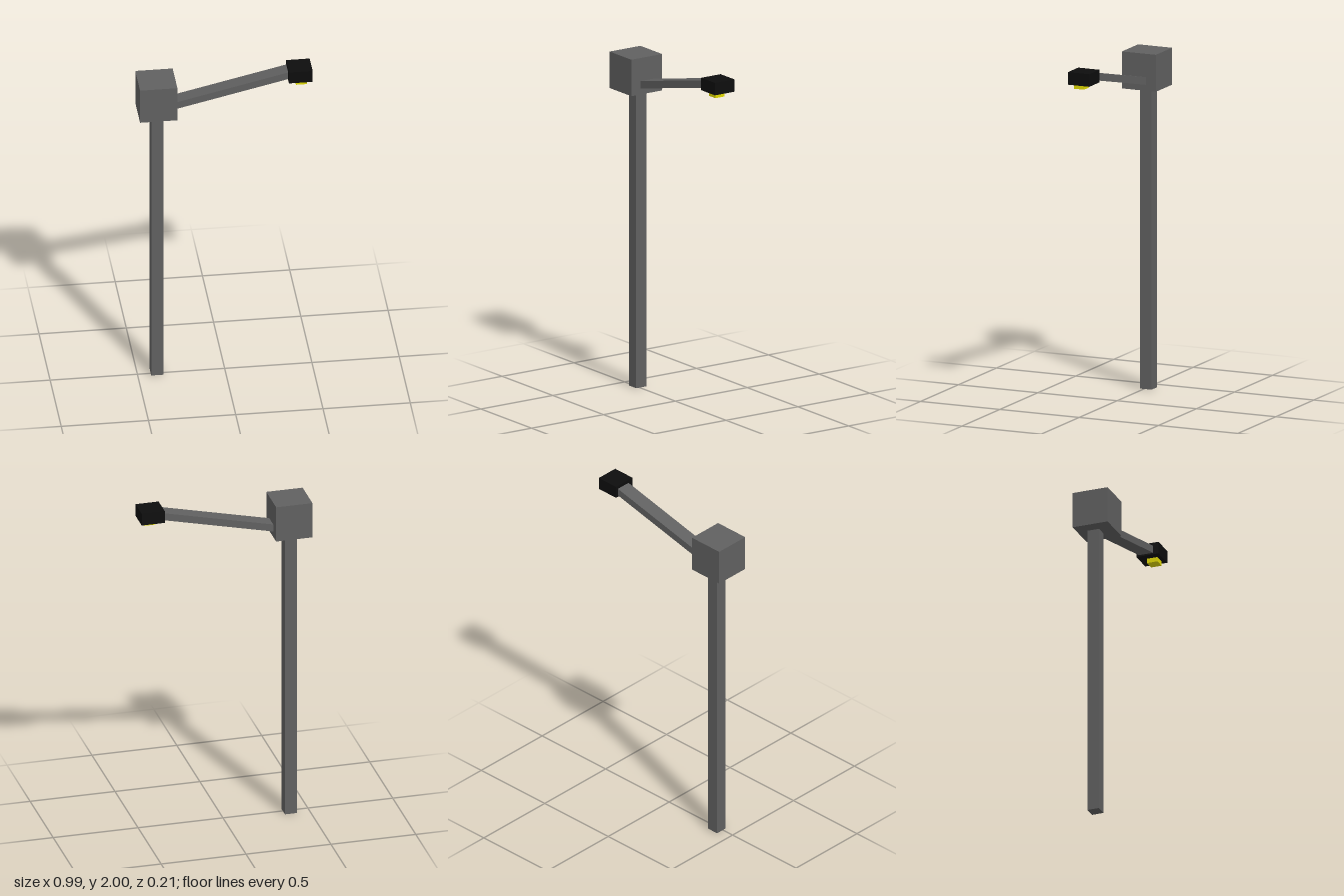
import * as THREE from 'three';

function material(name, color) {
  const m = new THREE.MeshStandardMaterial({ color });
  m.name = name;
  return m;
}

export function createModel() {
  const group = new THREE.Group();
  group.name = 'streetLamp';

  const grey = material('grey metal', 0x606060);
  const black = material('black housing', 0x0d0d0d);
  const yellow = material('yellow lamp', 0xe0d800);

  // Box given by its size and centre
  const box = (name, mat, size, centre) => {
    const mesh = new THREE.Mesh(new THREE.BoxGeometry(...size), mat);
    mesh.name = name;
    mesh.position.set(...centre);
    group.add(mesh);
    return mesh;
  };

  // Upright post and the cube on top of it
  box('post', grey, [0.071, 1.76, 0.071], [-0.388, 0.88, -0.012]);
  box('topBlock', grey, [0.214, 0.215, 0.214], [-0.391, 1.8585, -0.001]);

  // Sloping arm, its ends buried in the cube and the lamp head
  const start = new THREE.Vector2(-0.31, 1.802);
  const end = new THREE.Vector2(0.4, 1.968);
  const along = end.clone().sub(start);
  const mid = start.clone().add(end).multiplyScalar(0.5);
  const arm = box('arm', grey, [along.length(), 0.043, 0.0875], [mid.x, mid.y, -0.0025]);
  arm.rotation.z = along.angle();

  // Lamp head with the light below
  box('lampHead', black, [0.136, 0.073, 0.135], [0.427, 1.9635, 0.006]);
  box('light', yellow, [0.064, 0.04, 0.064], [0.434, 1.92, 0.018]);

  return group;
}
